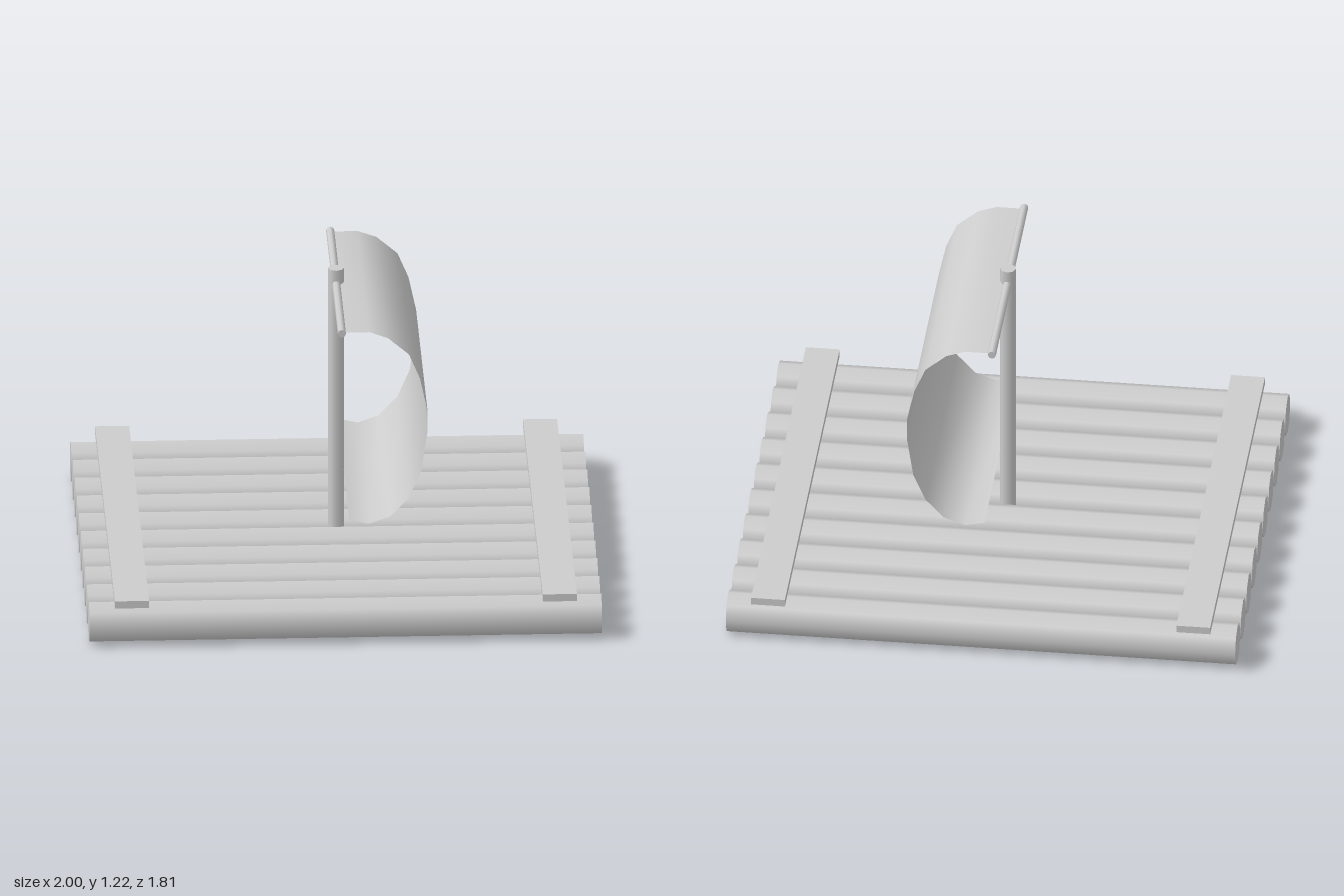
import * as THREE from 'three';

export function createModel() {
  const group = new THREE.Group();
  const grey = new THREE.MeshStandardMaterial({ color: 0xcccccc });
  grey.name = 'plain grey';
  const greySheet = new THREE.MeshStandardMaterial({ color: 0xcccccc, side: THREE.DoubleSide });
  greySheet.name = 'plain grey sheet';

  const add = (name, geometry, x, y, z, material = grey) => {
    const mesh = new THREE.Mesh(geometry, material);
    mesh.name = name;
    mesh.position.set(x, y, z);
    group.add(mesh);
    return mesh;
  };

  // Deck of ten eight-sided logs lying along x
  const logRadius = 0.083, reach = 0.822, count = 10;
  const log = new THREE.CylinderGeometry(logRadius, logRadius, 2, 8).rotateZ(Math.PI / 2);
  for (let i = 0; i < count; i++) {
    add('log', log, 0, logRadius, -reach + (2 * reach * i) / (count - 1));
  }

  // Cross planks tying the logs together
  for (const side of [-1, 1]) {
    add('crossPlank', new THREE.BoxGeometry(0.133, 0.03, 1.8), side * 0.835, 0.184, 0);
  }

  // Mast standing on the deck, with the yard across its top
  add('mast', new THREE.CylinderGeometry(0.031, 0.031, 1.135, 8), 0, 0.6525, 0);
  add('yard', new THREE.CylinderGeometry(0.016, 0.016, 1.064, 8).rotateX(Math.PI / 2), 0, 1.16, 0);

  // Billowing sail: a thin curved sheet swept along z
  const profile = [
    [0, 1.16], [0.107, 1.16], [0.18, 1.134], [0.262, 1.064], [0.305, 0.963], [0.335, 0.824],
    [0.335, 0.738], [0.31, 0.572], [0.262, 0.46], [0.19, 0.383], [0.107, 0.353], [0.03, 0.37],
  ];
  const sail = new THREE.PlaneGeometry(1, 1, 1, profile.length - 1);
  const position = sail.attributes.position;
  profile.forEach(([x, y], row) => {
    position.setXYZ(row * 2, x, y, 0.52);
    position.setXYZ(row * 2 + 1, x, y, -0.52);
  });
  sail.computeVertexNormals();
  add('sail', sail, 0, 0, 0, greySheet);

  return group;
}
